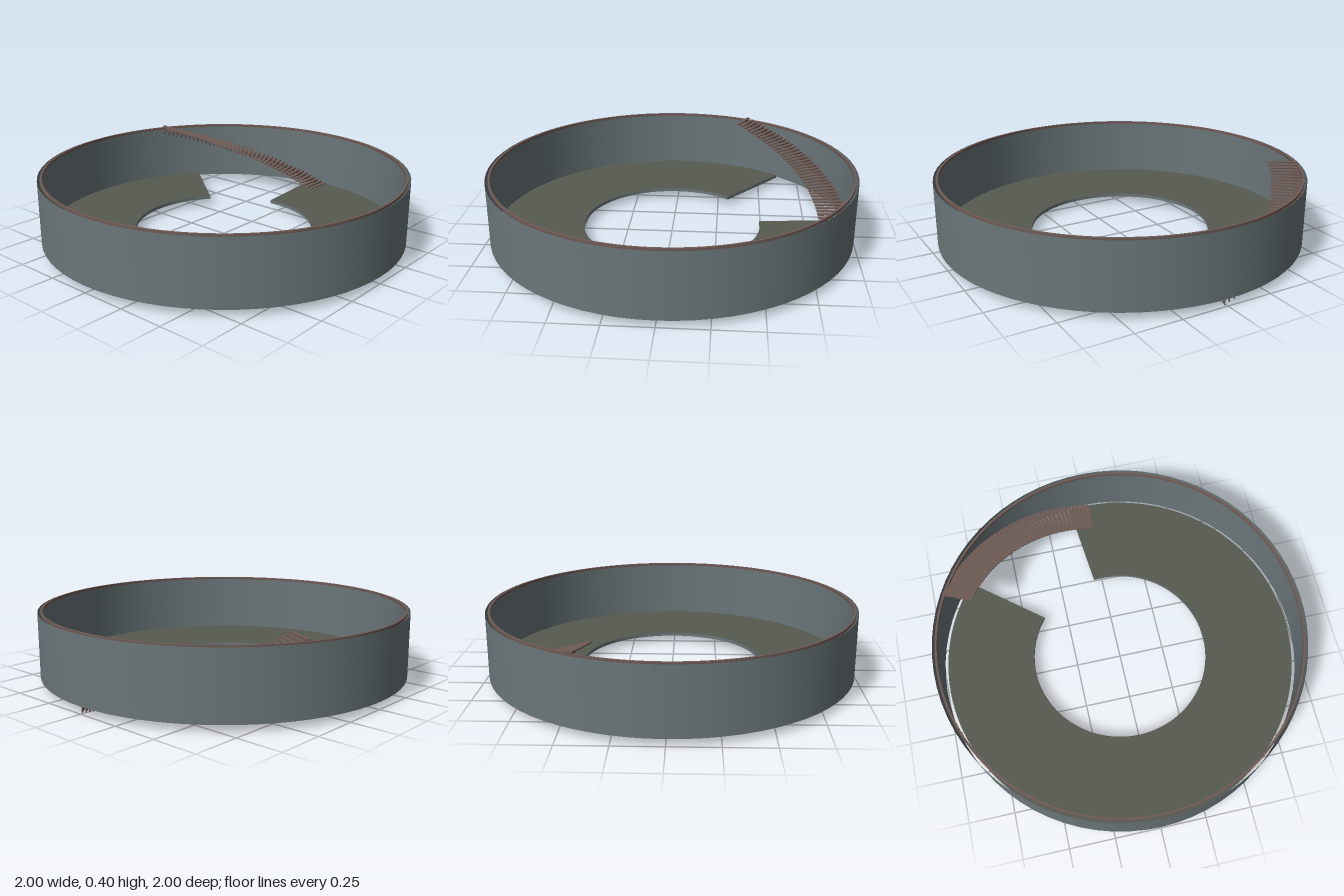
import * as THREE from 'three';

const rad = THREE.MathUtils.degToRad;

export function createModel() {
  const slate = new THREE.MeshStandardMaterial({ color: 0x6b777a, side: THREE.DoubleSide });
  slate.name = 'slate';
  const olive = new THREE.MeshStandardMaterial({ color: 0x565a50 });
  olive.name = 'olive';
  const umber = new THREE.MeshStandardMaterial({ color: 0x6e5a55 });
  umber.name = 'umber';

  const model = new THREE.Group();
  model.name = 'ringRoom';
  const add = (parent, name, geometry, material) => {
    const mesh = new THREE.Mesh(geometry, material);
    mesh.name = name;
    parent.add(mesh);
    return mesh;
  };

  // Outer wall: a thin open cylinder
  const wall = add(model, 'outerWall', new THREE.CylinderGeometry(1, 1, 0.348, 72, 1, true), slate);
  wall.position.y = 0.037 + 0.174;

  // Floor: a ring with a stairwell sector cut out
  const start = rad(51), end = rad(365.7);
  const sector = new THREE.Shape();
  sector.absarc(0, 0, 0.98, start, end, false);
  sector.absarc(0, 0, 0.49, end, start, true);
  sector.closePath();
  const floorGeometry = new THREE.ExtrudeGeometry(sector, { depth: 0.018, bevelEnabled: false, curveSegments: 72 });
  floorGeometry.rotateX(-Math.PI / 2);
  const floor = add(model, 'floor', floorGeometry, [olive, slate]);
  floor.position.y = 0.038;

  // Rim: a slim band around the top of the wall
  const rimShape = new THREE.Shape().absarc(0, 0, 0.985, 0, Math.PI * 2, false);
  rimShape.holes.push(new THREE.Path().absarc(0, 0, 0.973, 0, Math.PI * 2, true));
  const rimGeometry = new THREE.ExtrudeGeometry(rimShape, { depth: 0.014, bevelEnabled: false, curveSegments: 72 });
  rimGeometry.rotateX(-Math.PI / 2);
  const rim = add(model, 'rim', rimGeometry, umber);
  rim.position.y = 0.376;

  // Staircase: separate treads on thin triangular brackets, climbing along the wall
  const stairs = new THREE.Group();
  stairs.name = 'staircase';
  model.add(stairs);
  const treadGeometry = new THREE.BoxGeometry(0.165, 0.006, 0.022);
  treadGeometry.translate(0.9025, -0.003, 0);
  const bracketShape = new THREE.Shape([
    new THREE.Vector2(0.985, -0.06),
    new THREE.Vector2(0.985, -0.006),
    new THREE.Vector2(0.93, -0.006),
  ]);
  const bracketGeometry = new THREE.ExtrudeGeometry(bracketShape, { depth: 0.005, bevelEnabled: false });
  bracketGeometry.translate(0, 0, -0.0025);
  for (let i = 0; i <= 40; i++) {
    const step = new THREE.Group();
    step.name = 'step' + (i + 1);
    step.rotation.y = rad(-0.5 + 1.62 * i);
    step.position.y = 0.06 + 0.0085 * i;
    add(step, 'tread', treadGeometry, umber);
    add(step, 'bracket', bracketGeometry, umber);
    stairs.add(step);
  }

  return model;
}
